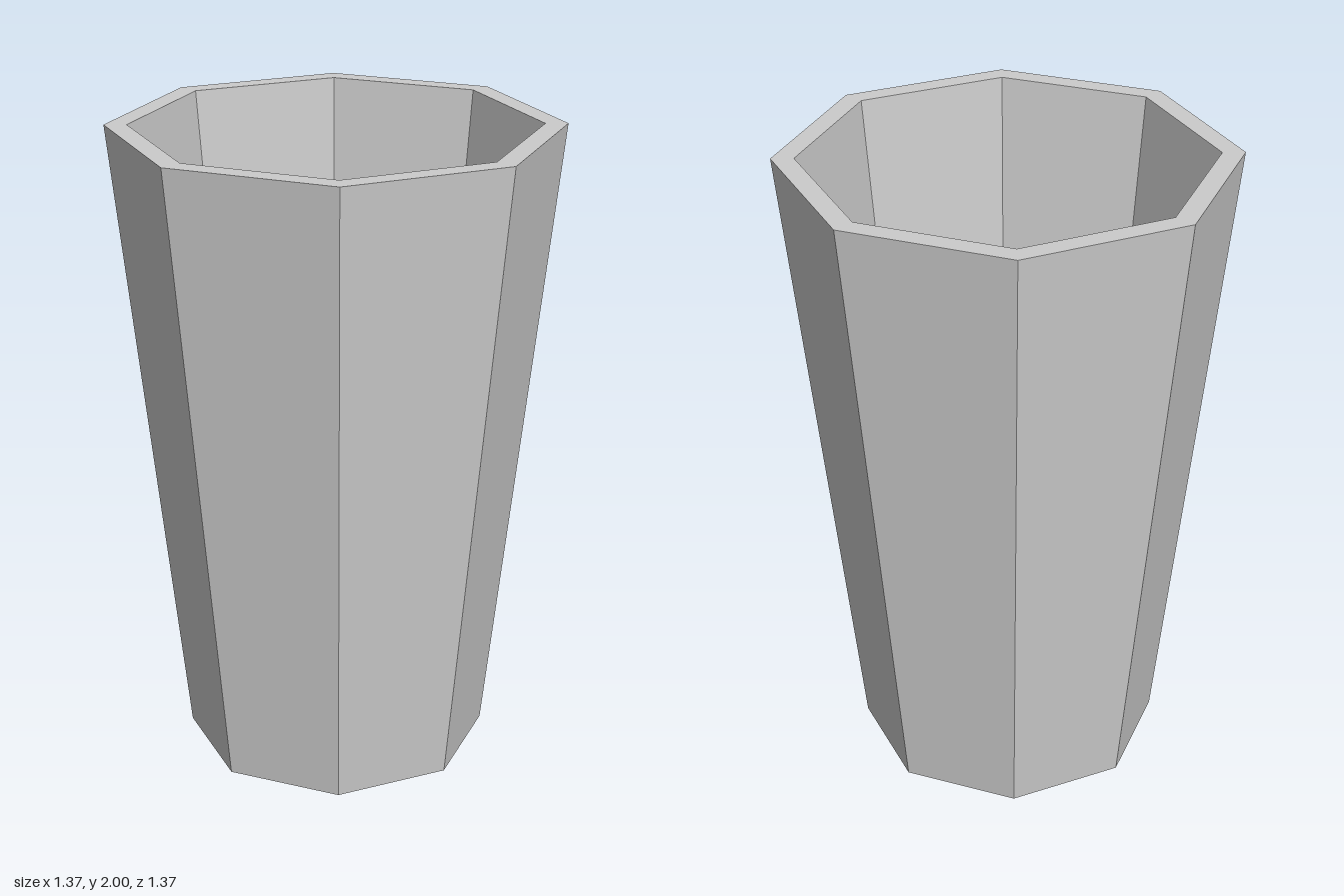
import * as THREE from 'three';

export function createModel() {
  const group = new THREE.Group();
  group.name = 'cup';

  // Closed wall profile: base, outer wall, rim, inner wall, inner floor
  const profile = [
    [0, 0], [0.475, 0], [0.683, 2], [0.615, 2], [0.423, 0.14], [0, 0.14],
  ].map(([r, y]) => new THREE.Vector2(r, y));

  // Eight flat sides with corners on the x and z axes
  const geometry = new THREE.LatheGeometry(profile, 8).toNonIndexed();
  geometry.computeVertexNormals();

  const body = new THREE.Mesh(
    geometry,
    new THREE.MeshStandardMaterial({ color: 0xcccccc, flatShading: true })
  );
  body.name = 'cupBody';
  group.add(body);
  return group;
}
